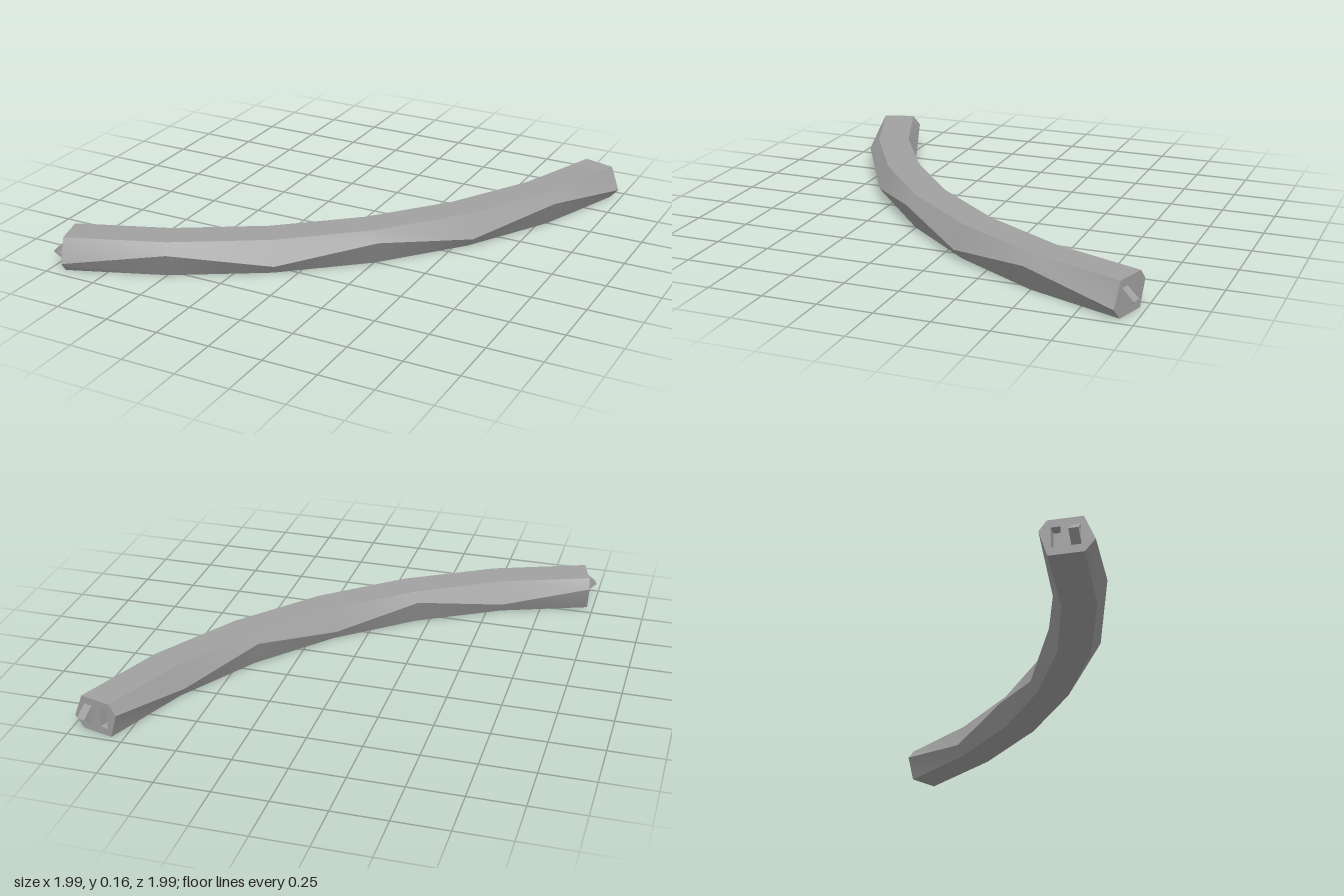
import * as THREE from 'three';
import { toCreasedNormals } from 'three/addons/utils/BufferGeometryUtils.js';

const CENTRE = -1.68;               // arc centre on both x and z
const MID = 2.66, HEIGHT = 0.16;
const STEP = THREE.MathUtils.degToRad(9.7);
const angleAt = (k) => Math.PI / 4 + (k - 3) * STEP;

// Six-sided section as [radius, height]; the side ridges alternate low and high
function section(k) {
  const low = k % 2 === 0;
  return [
    [2.78, low ? 0.05 : 0.115], [2.735, HEIGHT], [2.585, HEIGHT],
    [2.55, low ? 0.115 : 0.05], [2.585, 0], [2.735, 0],
  ];
}

function beamGeometry() {
  const positions = [], index = [];
  for (let k = 0; k <= 6; k++) {
    const a = angleAt(k);
    for (const [r, y] of section(k)) {
      positions.push(CENTRE + r * Math.cos(a), y, CENTRE + r * Math.sin(a));
    }
  }
  for (let k = 0; k < 6; k++) {
    for (let j = 0; j < 6; j++) {
      const n = (j + 1) % 6;
      const a = k * 6 + j, b = k * 6 + n, c = b + 6, d = a + 6;
      index.push(a, b, c, a, c, d);
    }
  }
  const g = new THREE.BufferGeometry();
  g.setAttribute('position', new THREE.Float32BufferAttribute(positions, 3));
  g.setIndex(index);
  return toCreasedNormals(g, 0.6);
}

const polygon = (Type, pts) => new Type(pts.map(([x, y]) => new THREE.Vector2(x, y)));

export function createModel() {
  const model = new THREE.Group();
  const grey = new THREE.MeshStandardMaterial({ color: 0xa0a0a0 });

  const add = (parent, name, geometry) => {
    const mesh = new THREE.Mesh(geometry, grey);
    mesh.name = name;
    parent.add(mesh);
    return mesh;
  };

  add(model, 'curvedBeam', beamGeometry());

  // Both ends: a cap with a socket beside a triangular hook
  for (const [k, side] of [[0, -1], [6, 1]]) {
    const a = angleAt(k);
    const end = new THREE.Group();
    end.name = side > 0 ? 'rightEnd' : 'leftEnd';
    end.position.set(CENTRE + MID * Math.cos(a), 0, CENTRE + MID * Math.sin(a));
    end.rotation.y = side > 0 ? -a : Math.PI - a;
    model.add(end);

    const outline = section(k).map(([r, y]) => [side * (r - MID), y]);
    const face = polygon(THREE.Shape, outline);
    const sx = -0.04 * side, w = 0.02;
    face.holes.push(polygon(THREE.Path, [
      [sx - w, 0.035], [sx + w, 0.035], [sx + w, 0.125], [sx - w, 0.125],
    ]));
    add(end, 'endCap', new THREE.ShapeGeometry(face));

    // Socket walls face inward
    const walls = new THREE.BoxGeometry(2 * w, 0.09, 0.05);
    walls.index.array.reverse();
    const socket = walls.toNonIndexed();
    socket.computeVertexNormals();
    add(end, 'socket', socket).position.set(sx, 0.08, -0.025);

    const hook = polygon(THREE.Shape, [[0, 0.035], [0.055, 0.08], [0, 0.125]]);
    hook.holes.push(polygon(THREE.Path, [[0.008, 0.058], [0.008, 0.102], [0.036, 0.08]]));
    const hookGeometry = new THREE.ExtrudeGeometry(hook, { depth: 0.04, bevelEnabled: false });
    hookGeometry.translate(0, 0, -0.02).rotateY(-Math.PI / 2);
    add(end, 'hook', hookGeometry).position.x = 0.042 * side;
  }
  return model;
}
